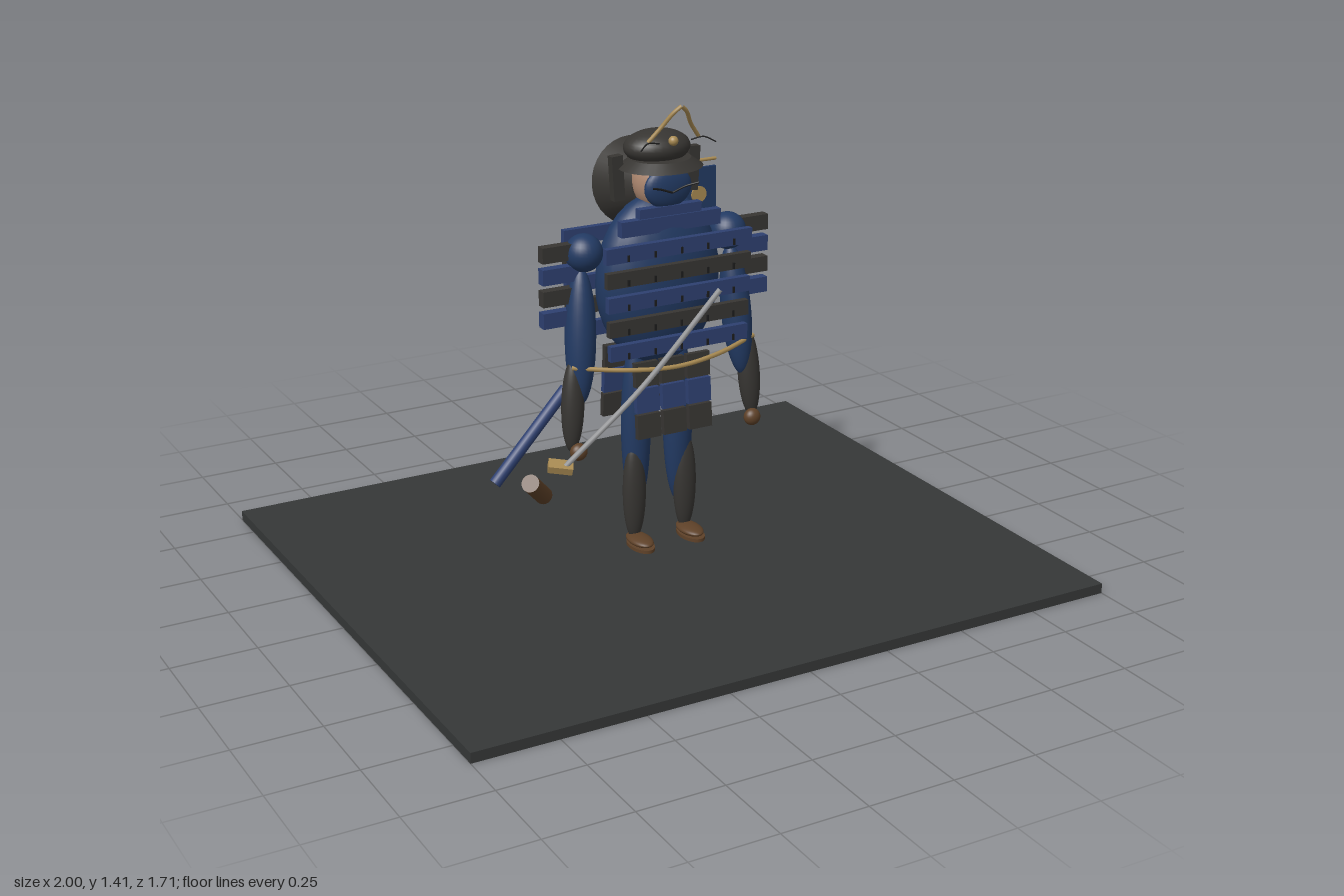
import * as THREE from 'three';

const paint = (color) => new THREE.MeshStandardMaterial({ color });
const dark = paint(0x373532), black = paint(0x1c1c1c), navy = paint(0x223a63), blue = paint(0x2e4070);
const brown = paint(0x5e4128), gold = paint(0xa88a52), steel = paint(0x999a9c), skin = paint(0xb08a72), stone = paint(0x353737);

export function createModel() {
  const model = new THREE.Group();
  const v = (p) => new THREE.Vector3(...p);

  const add = (name, geometry, material, pos = [0, 0, 0], rot = [0, 0, 0]) => {
    const mesh = new THREE.Mesh(geometry, material);
    mesh.name = name;
    mesh.position.set(...pos);
    mesh.rotation.set(...rot);
    model.add(mesh);
    return mesh;
  };
  const box = (name, size, material, pos, rot) => add(name, new THREE.BoxGeometry(...size), material, pos, rot);
  const ball = (name, radii, material, pos, rot) => {
    const mesh = add(name, new THREE.SphereGeometry(1, 28, 18), material, pos, rot);
    mesh.scale.set(...radii);
    return mesh;
  };
  const tube = (name, points, radius, material) =>
    add(name, new THREE.TubeGeometry(new THREE.CatmullRomCurve3(points.map(v)), 24, radius, 8), material);
  // straight round bar between two points
  const rod = (name, a, b, r0, r1, material) => {
    const from = v(a), dir = v(b).sub(from);
    const mesh = add(name, new THREE.CylinderGeometry(r1, r0, dir.length(), 20), material);
    mesh.position.copy(from).addScaledVector(dir, 0.5);
    mesh.quaternion.setFromUnitVectors(new THREE.Vector3(0, 1, 0), dir.normalize());
    return mesh;
  };

  box('ground', [2, 0.03, 1.71], stone, [0, 0.015, 0]);

  // body and head
  ball('torso', [0.195, 0.255, 0.11], navy, [0, 0.88, 0.01]);
  ball('head', [0.075, 0.09, 0.075], skin, [0, 1.17, 0.01]);
  ball('faceMask', [0.075, 0.06, 0.025], navy, [0, 1.16, 0.07]);
  box('gorgetUpper', [0.2, 0.03, 0.025], blue, [0, 1.095, 0.075]);
  box('gorgetLower', [0.32, 0.045, 0.025], blue, [0, 1.06, 0.08]);

  // helmet with brim, neck guard and crest
  ball('helmetBowl', [0.1, 0.05, 0.08], dark, [0, 1.265, 0.005]);
  const brim = add('helmetBrim', new THREE.CylinderGeometry(0.09, 0.125, 0.025, 32), dark, [0, 1.225, 0.025]);
  brim.scale.z = 0.9;
  add('neckGuard', new THREE.CylinderGeometry(0.075, 0.13, 0.14, 32), dark, [0, 1.14, -0.075], [Math.PI / 2 - 0.12, 0, 0]);
  ball('crestKnob', [0.014, 0.014, 0.014], gold, [0, 1.3, 0.1]);

  for (const s of [-1, 1]) {
    box('helmetFlap', [0.035, 0.13, 0.025], dark, [s * 0.122, 1.185, -0.008], [0, 0, s * -0.06]);
    tube('crestHorn', [[s * 0.08, 1.305, 0.1], [s * 0.045, 1.35, 0.117], [s * 0.02, 1.39, 0.138], [0, 1.408, 0.146]], 0.006, gold);
    tube('moustache', [[0, 1.15, 0.096], [s * 0.04, 1.165, 0.1], [s * 0.075, 1.175, 0.115]], 0.003, black);
    tube('helmetCord', [[s * 0.05, 1.3, 0.11], [s * 0.09, 1.305, 0.115], [s * 0.12, 1.29, 0.13]], 0.002, black);

    // arms
    ball('shoulder', [0.055, 0.055, 0.055], navy, [s * 0.235, 0.985, 0.005]);
    ball('upperArm', [0.045, 0.2, 0.045], navy, [s * 0.257, 0.745, 0.022], [-0.1, 0, s * 0.06]);
    ball('forearm', [0.034, 0.14, 0.03], dark, [s * 0.293, 0.55, 0.04], [-0.05, 0, s * 0.06]);
    ball('hand', [0.026, 0.026, 0.022], brown, [s * 0.29, 0.415, 0.068]);

    // layered shoulder guards
    for (let i = 0; i < 4; i++)
      box('shoulderPlate', [0.13, 0.046, 0.03], i % 2 ? blue : dark, [s * 0.303, 0.995 - i * 0.064, 0]);

    // legs
    ball('leg', [0.045, 0.27, 0.04], navy, [s * 0.07, 0.44, 0.005]);
    ball('shinGuard', [0.036, 0.155, 0.028], dark, [s * 0.085, 0.235, 0.022]);
    ball('foot', [0.034, 0.014, 0.06], brown, [s * 0.085, 0.092, 0.055]);
    const sole = add('sandal', new THREE.CylinderGeometry(0.035, 0.035, 0.01, 24), brown, [s * 0.085, 0.077, 0.06]);
    sole.scale.z = 1.75;
  }

  // slatted chest and back armour, with lacing
  for (let i = 0; i < 5; i++) {
    const y = 1.005 - i * 0.0715, tone = i % 2 ? dark : blue;
    box('chestSlat', [0.47 - i * 0.006, 0.045, 0.02], tone, [0, y, 0.133]);
    box('backSlat', [0.47 - i * 0.006, 0.045, 0.02], tone, [0, y - 0.01, -0.127]);
    for (let k = -2; k <= 2; k++)
      box('lacing', [0.006, 0.018, 0.004], black, [k * 0.085, y - 0.008, 0.152]);
  }

  // hanging skirt panels, front and back
  for (const f of [-1, 1])
    for (let k = -1; k <= 1; k++)
      for (let i = 0; i < 3; i++)
        box('skirtPlate', [0.075, 0.072, 0.018], i === 1 ? blue : dark,
          [k * 0.085, 0.625 - i * 0.077, f * (0.093 + i * 0.007)], [-f * 0.08, 0, 0]);

  tube('beltCord', [[-0.3, 0.665, 0.05], [-0.15, 0.65, 0.105], [0, 0.642, 0.125], [0.15, 0.65, 0.105], [0.3, 0.665, 0.05]], 0.007, gold);

  // back banner
  rod('bannerPole', [0.14, 0.56, -0.11], [0.14, 1.25, -0.155], 0.006, 0.006, gold);
  rod('bannerArm', [0.13, 1.16, -0.15], [0.285, 1.16, -0.15], 0.005, 0.005, gold);
  box('banner', [0.12, 0.22, 0.01], navy, [0.222, 1.03, -0.146]);
  add('bannerDisc', new THREE.CylinderGeometry(0.025, 0.025, 0.016, 24), gold, [0.222, 1.06, -0.144], [Math.PI / 2, 0, 0]);

  // sword and scabbard
  tube('swordBlade', [[-0.36, 0.4, 0.118], [-0.16, 0.63, 0.205], [0.037, 0.917, 0.3]], 0.008, steel);
  box('swordGuard', [0.07, 0.022, 0.04], gold, [-0.37, 0.4, 0.11], [0.35, -0.45, 0]);
  rod('swordGrip', [-0.47, 0.373, 0.12], [-0.388, 0.288, 0.035], 0.026, 0.026, brown);
  rod('scabbard', [-0.25, 0.55, -0.09], [-0.49, 0.305, -0.075], 0.018, 0.018, blue);

  return model;
}
